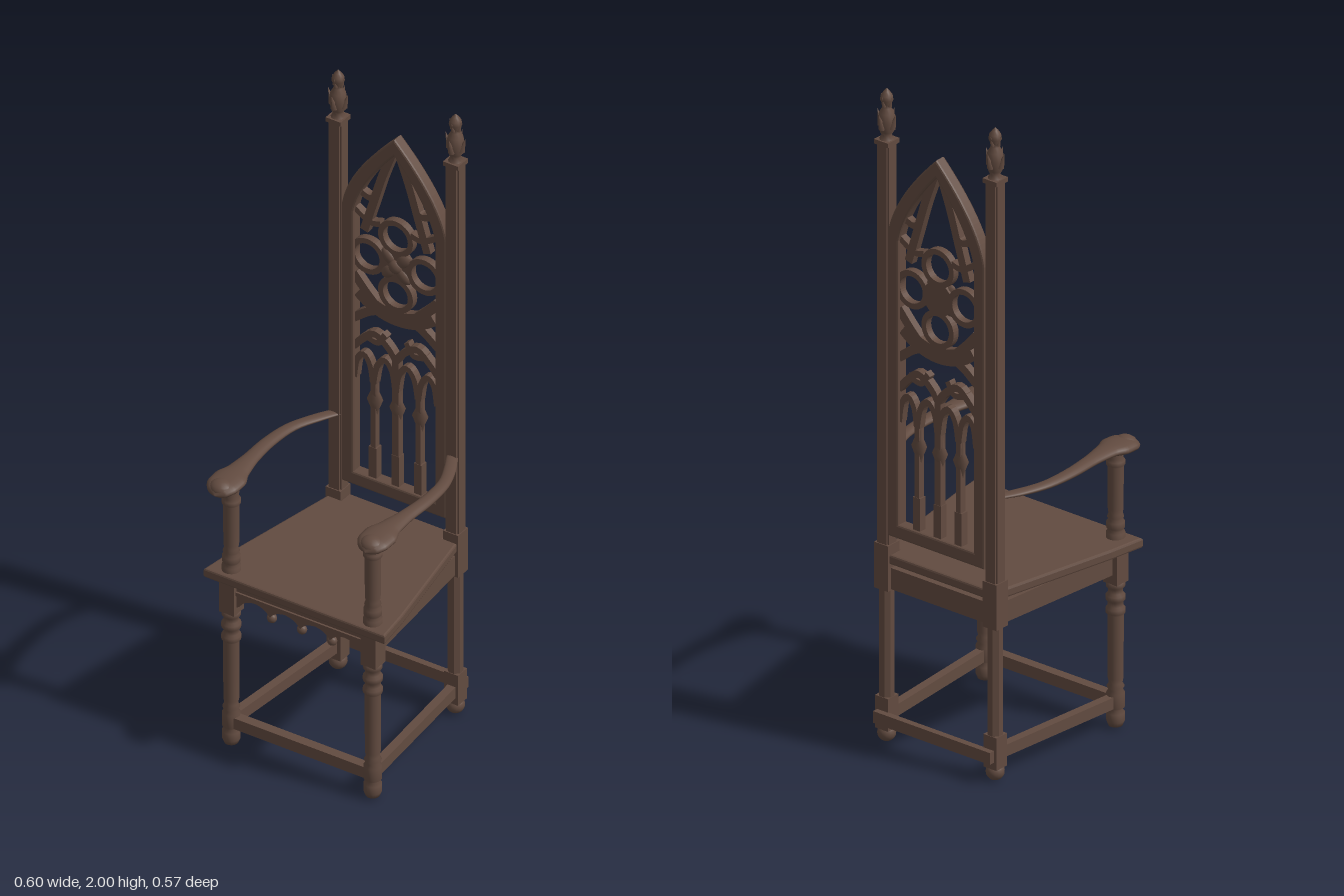
import * as THREE from 'three';
import { ParametricGeometry } from 'three/addons/geometries/ParametricGeometry.js';

const wood = new THREE.MeshStandardMaterial({ color: 0x624b40 });
wood.name = 'dark wood';
const V2 = (x, y) => new THREE.Vector2(x, y);

export function createModel() {
  const chair = new THREE.Group();
  chair.name = 'gothicArmchair';

  const add = (name, geo, x = 0, y = 0, z = 0, parent = chair) => {
    const m = new THREE.Mesh(geo, wood);
    m.name = name;
    m.position.set(x, y, z);
    parent.add(m);
    return m;
  };
  const box = (name, w, h, d, x, y, z, parent) => add(name, new THREE.BoxGeometry(w, h, d), x, y, z, parent);
  const lathe = (name, pts, x, z, seg = 20) =>
    add(name, new THREE.LatheGeometry(pts.map(p => V2(p[0], p[1])), seg), x, 0, z);
  const extrude = (shape, depth, bevel = 0) => new THREE.ExtrudeGeometry(shape, {
    depth: depth - 2 * bevel, bevelEnabled: bevel > 0, bevelSize: bevel, bevelThickness: bevel,
    bevelOffset: -bevel, bevelSegments: 2, curveSegments: 20,
  }).translate(0, 0, -depth / 2 + bevel);
  // square bar joining two floor-plan points
  const rail = (name, a, b, y, h, d) => {
    const m = box(name, Math.hypot(b[0] - a[0], b[1] - a[1]), h, d, (a[0] + b[0]) / 2, y, (a[1] + b[1]) / 2);
    m.rotation.y = -Math.atan2(b[1] - a[1], b[0] - a[0]);
    return m;
  };

  // Seat board, narrowing to the back and running between the posts
  const seat = new THREE.Shape([[-0.3, -0.265], [0.3, -0.265], [0.285, -0.15], [0.215, 0.225], [0.172, 0.225],
    [0.172, 0.265], [-0.172, 0.265], [-0.172, 0.225], [-0.215, 0.225], [-0.285, -0.15]].map(p => V2(...p)));
  add('seat', extrude(seat, 0.03, 0.006).rotateX(-Math.PI / 2), 0, 0.567, 0);

  // Front apron with a scalloped lower edge and pendants
  const apron = new THREE.Shape();
  apron.moveTo(-0.22, 0.555);
  apron.lineTo(-0.22, 0.46);
  apron.lineTo(-0.2, 0.475);
  for (let i = 0; i < 4; i++) {
    const x = -0.2 + i * 0.1;
    apron.quadraticCurveTo(x + 0.015, 0.5, x + 0.05, 0.503);
    apron.quadraticCurveTo(x + 0.085, 0.5, x + 0.1, 0.475);
  }
  apron.lineTo(0.22, 0.46);
  apron.lineTo(0.22, 0.555);
  add('apron', extrude(apron, 0.022), 0, 0, 0.225);
  box('apronMoulding', 0.43, 0.012, 0.034, 0, 0.516, 0.225);
  for (const x of [-0.1, 0, 0.1])
    add('apronPendant', new THREE.SphereGeometry(0.015, 12, 8), x, 0.469, 0.225).scale.set(1, 1, 0.9);

  // Rear rail and front and rear stretchers
  box('rearRail', 0.38, 0.065, 0.024, 0, 0.507, -0.247);
  box('frontStretcher', 0.46, 0.036, 0.03, 0, 0.081, 0.227);
  box('rearStretcher', 0.42, 0.036, 0.02, 0, 0.081, -0.278);

  for (const s of [-1, 1]) {
    const fx = 0.235 * s, fz = 0.225, bx = 0.195 * s, bz = -0.247;
    rail('sideRail', [fx, fz], [bx, bz], 0.507, 0.065, 0.024);
    rail('sideStretcher', [fx, fz], [bx, bz], 0.081, 0.036, 0.026);

    // Turned front leg
    lathe('frontLeg', [[0, 0.005], [0.02, 0.005], [0.026, 0.02], [0.026, 0.045], [0.018, 0.055], [0.026, 0.062],
      [0.026, 0.105], [0.02, 0.115], [0.025, 0.125], [0.019, 0.135], [0.022, 0.15], [0.023, 0.345], [0.028, 0.352],
      [0.028, 0.365], [0.022, 0.372], [0.022, 0.385], [0.028, 0.392], [0.028, 0.405], [0.021, 0.412],
      [0.021, 0.425], [0.027, 0.432], [0.027, 0.445], [0.02, 0.45]], fx, fz);
    box('frontLegBlock', 0.05, 0.11, 0.05, fx, 0.5, fz);

    // Turned arm support
    lathe('armSupport', [[0.027, 0.575], [0.027, 0.598], [0.02, 0.603], [0.026, 0.612], [0.026, 0.63], [0.02, 0.637],
      [0.024, 0.645], [0.02, 0.655], [0.022, 0.67], [0.023, 0.8], [0.027, 0.806], [0.027, 0.818], [0.021, 0.825],
      [0.024, 0.86]], fx, fz);

    // Sweeping armrest: stations of centre and half sizes along z
    const st = [[0.193, 0.861, -0.235, 0.019, 0.006], [0.222, 0.862, -0.18, 0.02, 0.008],
      [0.253, 0.865, -0.1, 0.019, 0.01], [0.262, 0.868, 0, 0.021, 0.012], [0.257, 0.87, 0.09, 0.024, 0.013],
      [0.251, 0.87, 0.17, 0.036, 0.015], [0.25, 0.868, 0.21, 0.051, 0.018], [0.25, 0.866, 0.245, 0.05, 0.018],
      [0.25, 0.86, 0.275, 0.032, 0.014], [0.25, 0.855, 0.287, 0.001, 0.001]];
    const path = new THREE.CatmullRomCurve3(st.map(p => new THREE.Vector3(p[0], p[1], p[2])));
    const size = new THREE.CatmullRomCurve3(st.map(p => new THREE.Vector3(p[3], p[4], 0)));
    const c = new THREE.Vector3(), r = new THREE.Vector3();
    add('armrest', new ParametricGeometry((u, v, out) => {
      path.getPoint(v, c);
      size.getPoint(v, r);
      const a = u * Math.PI * 2;
      out.set(s * c.x + Math.cos(a) * Math.abs(r.x), c.y + Math.sin(a) * Math.abs(r.y), c.z);
    }, 16, 40));
    add('armScroll', new THREE.SphereGeometry(0.03, 16, 10), s * 0.25, 0.862, 0.25).scale.set(1.25, 0.85, 1.1);

    // Back post: foot, chamfered lower leg, seat block and tall shaft
    add('postFoot', new THREE.SphereGeometry(0.027, 14, 10), bx, 0.026, bz);
    box('postBase', 0.046, 0.1, 0.046, bx, 0.09, bz);
    add('postLowerLeg', new THREE.CylinderGeometry(0.023, 0.023, 0.36, 8).rotateY(Math.PI / 8).toNonIndexed(), bx, 0.31, bz)
      .geometry.computeVertexNormals();
    box('postSeatBlock', 0.05, 0.14, 0.05, bx, 0.54, bz);
    box('postShaft', 0.034, 1.24, 0.044, bx, 1.22, bz);
    box('postShaftFace', 0.044, 1.24, 0.032, bx, 1.22, bz);
    box('postCap', 0.05, 0.014, 0.05, bx, 1.838, bz);

    // Leafy finial
    lathe('finial', [[0.021, 1.845], [0.014, 1.858], [0.02, 1.868], [0.026, 1.9], [0.022, 1.925], [0.013, 1.94],
      [0.012, 1.95], [0.019, 1.965], [0.017, 1.978], [0.009, 1.99], [0, 2]], bx, bz, 12);
    for (let i = 0; i < 4; i++) {
      const a = i * Math.PI / 2, dx = Math.cos(a), dz = -Math.sin(a);
      for (const [d, y, h, w] of [[0.026, 1.905, 0.05, 0.011], [0.015, 1.962, 0.032, 0.007]]) {
        const k = dx ? 1 : 0.55;
        const leaf = add('finialLeaf', new THREE.ConeGeometry(w, h, 6), bx + dx * d * k, y, bz + dz * d * k);
        leaf.rotation.set(dz * 0.3, 0, -dx * 0.3);
      }
    }
  }

  // Back panel: pointed frame
  const back = new THREE.Group();
  back.name = 'backPanel';
  back.position.z = -0.251;
  chair.add(back);
  const lancet = (P, w, y0, y1, cx, cy, top) => {
    const p = new P();
    p.moveTo(-w, y0);
    p.lineTo(w, y0);
    p.lineTo(w, y1);
    p.quadraticCurveTo(cx, cy, 0, top);
    p.quadraticCurveTo(-cx, cy, -w, y1);
    p.lineTo(-w, y0);
    return p;
  };
  const frame = lancet(THREE.Shape, 0.175, 0.642, 1.57, 0.155, 1.69, 1.845);
  frame.holes.push(lancet(THREE.Path, 0.135, 0.685, 1.555, 0.115, 1.66, 1.79));
  add('backFrame', extrude(frame, 0.038, 0.006), 0, 0, 0, back);

  // Tracery: ribbons of even width along smooth curves
  const ribbon = (name, pts, w) => {
    const curve = new THREE.SplineCurve(pts.map(p => V2(...p)));
    const L = [], R = [];
    for (let i = 0; i <= 16; i++) {
      const p = curve.getPoint(i / 16), t = curve.getTangent(i / 16);
      L.push(V2(p.x - t.y * w / 2, p.y + t.x * w / 2));
      R.unshift(V2(p.x + t.y * w / 2, p.y - t.x * w / 2));
    }
    return add(name, extrude(new THREE.Shape([...L, ...R]), 0.022), 0, 0, 0, back);
  };
  const arc = (cx, cy, r, a0, a1) => Array.from({ length: 9 }, (_, i) => {
    const a = (a0 + (a1 - a0) * i / 8) * Math.PI / 180;
    return [cx + r * Math.cos(a), cy + r * Math.sin(a)];
  });

  // Four-lobed rose with a central flower
  const cy = 1.417;
  for (let i = 0; i < 4; i++) {
    const a = i * Math.PI / 2;
    const lobe = new THREE.Shape().absarc(0, 0, 0.058, 0, Math.PI * 2);
    lobe.holes.push(new THREE.Path().absarc(0, 0, 0.041, 0, Math.PI * 2));
    add('roseLobe', extrude(lobe, 0.022), 0.094 * Math.cos(a), cy + 0.094 * Math.sin(a), 0, back);
    const petal = add('flowerPetal', new THREE.SphereGeometry(0.03, 12, 8),
      0.034 * Math.cos(a + Math.PI / 4), cy + 0.034 * Math.sin(a + Math.PI / 4), 0.006, back);
    petal.scale.set(1, 0.62, 0.45);
    petal.rotation.z = a + Math.PI / 4;
  }
  add('flowerCentre', new THREE.SphereGeometry(0.022, 14, 10), 0, cy, 0.01, back).scale.z = 0.75;
  add('roseHub', new THREE.CylinderGeometry(0.052, 0.052, 0.022, 20).rotateX(Math.PI / 2), 0, cy, 0, back);
  ribbon('roseLowerBand', arc(0, cy + 0.01, 0.182, 228, 312), 0.05);

  for (const s of [-1, 1]) {
    const m = pts => pts.map(([x, y]) => [s * x, y]);
    // Upper forked ribs and side cusps
    ribbon('upperRib', m([[0.012, 1.79], [0.045, 1.7], [0.075, 1.6], [0.105, 1.5]]), 0.026);
    ribbon('upperCusp', m([[0.06, 1.63], [0.088, 1.615], [0.125, 1.63]]), 0.02);
    ribbon('shoulderCurve', m([[0.05, 1.54], [0.088, 1.535], [0.14, 1.565]]), 0.018);
    ribbon('roseSideBand', m([[0.07, 1.27], [0.105, 1.305], [0.14, 1.345]]), 0.03);
    // Curves tying the rose to the stiles
    ribbon('lowerTie', m([[0.055, 1.25], [0.095, 1.23], [0.14, 1.195]]), 0.026);
    // Large arch and small arches above the mullions
    ribbon('largeArch', m([[0, 1.1], [0.025, 1.135], [0.07, 1.165], [0.11, 1.135], [0.14, 1.1]]), 0.022);
    ribbon('archCusp', m([[0.035, 1.175], [0.06, 1.14], [0.105, 1.15]]), 0.018);
    ribbon('innerArch', m([[0.002, 1.0], [0.012, 1.06], [0.037, 1.09], [0.062, 1.06], [0.073, 1.0]]), 0.018);
    ribbon('outerArch', m([[0.076, 1.0], [0.085, 1.055], [0.106, 1.085], [0.128, 1.06], [0.137, 1.0]]), 0.018);
  }

  // Mullions with a spindle swelling
  for (const x of [-0.075, 0, 0.075]) {
    box('mullion', x ? 0.016 : 0.022, x ? 0.34 : 0.44, 0.022, x, x ? 0.85 : 0.9, 0, back);
    add('mullionSwelling', new THREE.LatheGeometry([[0.008, 0.89], [0.013, 0.91], [0.025, 0.94], [0.014, 0.965],
      [0.009, 1.01]].map(p => V2(...p)), 12), x, 0, 0, back).scale.z = 0.7;
    box('mullionBase', 0.026, 0.1, 0.024, x, 0.735, 0, back);
  }

  return chair;
}
